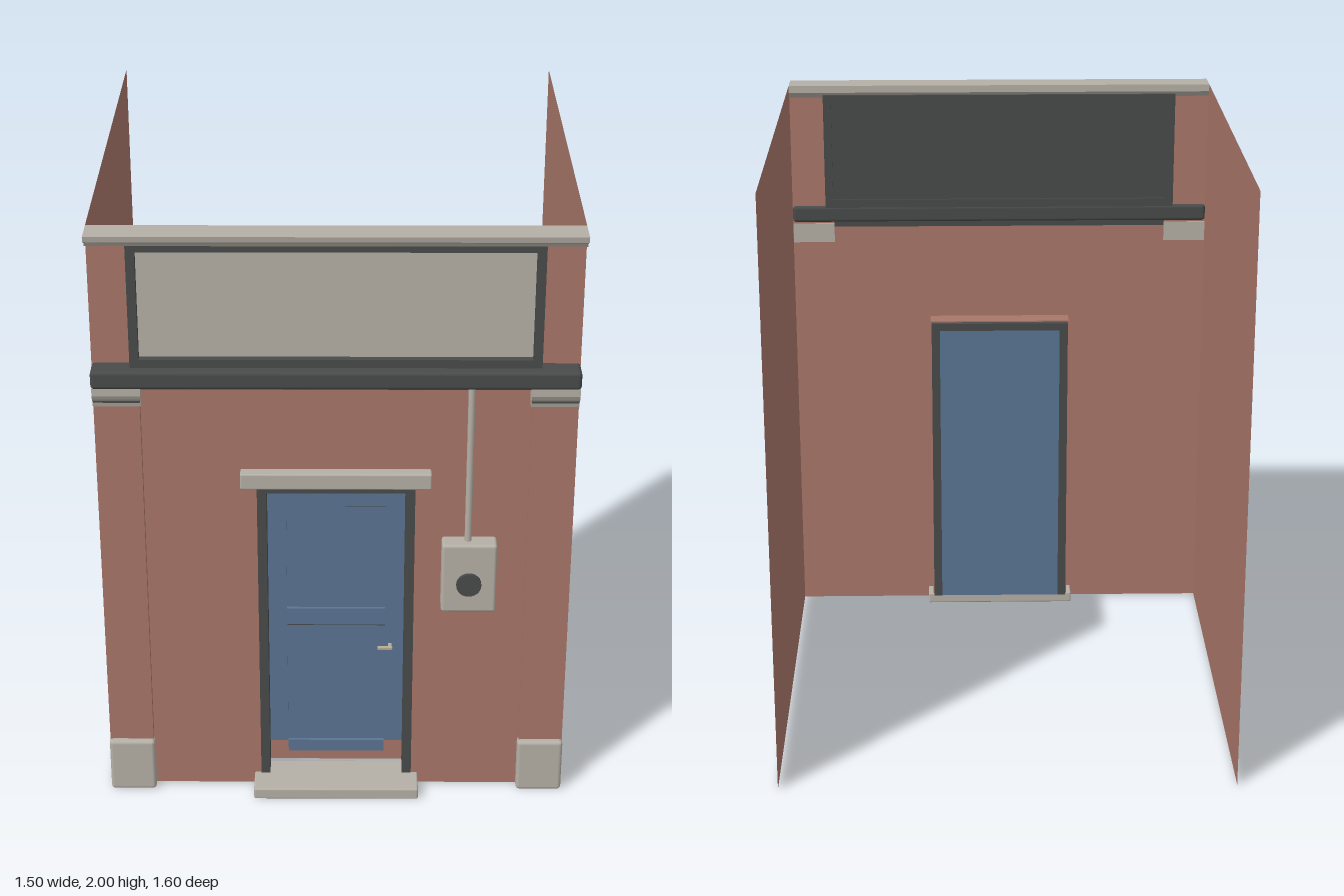
import * as THREE from 'three';
import { RoundedBoxGeometry } from 'three/addons/geometries/RoundedBoxGeometry.js';

const mat = (name, color, side = THREE.FrontSide) => {
  const m = new THREE.MeshStandardMaterial({ color, side });
  m.name = name;
  return m;
};

export function createModel() {
  const model = new THREE.Group();
  model.name = 'shopEntrance';
  const brick = mat('brick', 0xa87669, THREE.DoubleSide);
  const stone = mat('stone', 0xb5b0a6);
  const iron = mat('darkIron', 0x484b4a);
  const blue = mat('bluePaint', 0x5a7593);
  const brass = mat('handleMetal', 0xb9ab93);

  const add = (name, geometry, material) => {
    const mesh = new THREE.Mesh(geometry, material);
    mesh.name = name;
    model.add(mesh);
    return mesh;
  };
  // Box given by its limits; a radius rounds the edges
  const box = (name, material, [x0, x1], [y0, y1], [z0, z1], r = 0) => {
    const s = [x1 - x0, y1 - y0, z1 - z0];
    const g = r ? new RoundedBoxGeometry(...s, 2, r) : new THREE.BoxGeometry(...s);
    g.translate((x0 + x1) / 2, (y0 + y1) / 2, (z0 + z1) / 2);
    return add(name, g, material);
  };
  const rect = (C, x0, x1, y0, y1) => {
    const s = new C();
    s.moveTo(x0, y0).lineTo(x1, y0).lineTo(x1, y1).lineTo(x0, y1).closePath();
    return s;
  };
  // Flat slab with rectangular holes, from z0 to z1
  const slab = (name, material, outer, holes, z0, z1) => {
    const s = rect(THREE.Shape, ...outer);
    holes.forEach(h => s.holes.push(rect(THREE.Path, ...h)));
    const g = new THREE.ExtrudeGeometry(s, { depth: z1 - z0, bevelEnabled: false });
    return add(name, g.translate(0, 0, z0), material);
  };
  // Profile in [z, y] points swept along x
  const moulding = (name, material, pts, x0, x1) => {
    const s = new THREE.Shape(pts.map(([z, y]) => new THREE.Vector2(-z, y)));
    const g = new THREE.ExtrudeGeometry(s, { depth: x1 - x0, bevelEnabled: false });
    return add(name, g.rotateY(Math.PI / 2).translate(x0, 0, 0), material);
  };

  // Front wall with the doorway cut out
  const wall = new THREE.Shape([
    [-0.75, 0], [-0.25, 0], [-0.25, 1.13], [0.25, 1.13],
    [0.25, 0], [0.75, 0], [0.75, 2], [-0.75, 2],
  ].map(p => new THREE.Vector2(...p)));
  add('frontWall', new THREE.ShapeGeometry(wall).translate(0, 0, 0.7), brick);

  // Open side walls, pilasters with bases and capitals
  for (const s of [-1, 1]) {
    const side = s > 0 ? 'left' : 'right';
    const span = (a, b) => (s > 0 ? [a, b] : [-b, -a]);
    const g = new THREE.PlaneGeometry(1.5, 2).rotateY(Math.PI / 2);
    add(side + 'SideWall', g.translate(s * 0.75, 1, -0.05), brick);
    box(side + 'Pilaster', brick, span(0.605, 0.748), [0.1, 1.45], [0.701, 0.725]);
    box(side + 'PilasterBase', stone, span(0.6, 0.75), [0, 0.19], [0.701, 0.745], 0.012);
    moulding(side + 'Capital', stone, [
      [0.695, 1.42], [0.73, 1.42], [0.735, 1.44], [0.745, 1.45],
      [0.752, 1.465], [0.752, 1.49], [0.695, 1.49],
    ], ...span(0.6, 0.749));
    box(side + 'CapitalGroove', iron, span(0.602, 0.748), [1.436, 1.442], [0.72, 0.738]);
    // Brick reveal outside the door frame
    box(side + 'DoorReveal', brick, span(0.25, 0.254), [0.04, 1.134], [0.632, 0.699]);
    box(side + 'DoorJamb', iron, span(0.22, 0.25), [0.04, 1.13], [0.612, 0.705]);
  }

  // Beam over the pilasters and the cornice
  box('beamShadowStrip', iron, [-0.6, 0.6], [1.478, 1.5], [0.695, 0.73]);
  box('beam', iron, [-0.75, 0.75], [1.495, 1.555], [0.69, 0.772], 0.012);
  moulding('cornice', stone, [
    [0.683, 1.975], [0.7, 1.955], [0.738, 1.955], [0.745, 1.967],
    [0.76, 1.976], [0.774, 1.982], [0.777, 2], [0.683, 2],
  ], -0.75, 0.75);

  // Sign panel in its frame
  slab('signFrame', iron, [-0.63, 0.63, 1.552, 1.965], [[-0.602, 0.602, 1.582, 1.935]], 0.683, 0.738);
  box('signBack', iron, [-0.605, 0.605], [1.58, 1.937], [0.69, 0.706]);
  box('signPanel', stone, [-0.602, 0.602], [1.582, 1.935], [0.706, 0.714]);

  // Doorway: head, lintel and sill
  box('doorHeadReveal', brick, [-0.25, 0.25], [1.13, 1.134], [0.632, 0.699]);
  box('doorHead', iron, [-0.25, 0.25], [1.103, 1.13], [0.612, 0.705]);
  box('lintel', stone, [-0.3, 0.3], [1.135, 1.19], [0.701, 0.744], 0.006);
  box('sill', stone, [-0.272, 0.272], [0, 0.04], [0.632, 0.8], 0.006);

  // Door with two sunk panels over a brick kick strip
  box('doorBack', blue, [-0.22, 0.22], [0.04, 1.103], [0.613, 0.618]);
  box('kickStrip', brick, [-0.22, 0.22], [0.04, 0.125], [0.618, 0.622]);
  box('doorPanels', blue, [-0.16, 0.16], [0.075, 1.05], [0.618, 0.627]);
  slab('doorLeaf', blue, [-0.22, 0.22, 0.125, 1.103],
    [[-0.16, 0.16, 0.64, 1.02], [-0.16, 0.16, 0.126, 0.58]], 0.618, 0.638);
  for (const y of [1.018, 0.576]) box('panelGroove', iron, [-0.16, 0.16], [y, y + 0.005], [0.627, 0.637]);
  box('handle', brass, [0.135, 0.185], [0.497, 0.51], [0.655, 0.667], 0.004);
  box('handleStem', brass, [0.17, 0.182], [0.498, 0.509], [0.636, 0.66]);

  // Meter box, dial and conduit
  box('meterBox', stone, [0.335, 0.51], [0.705, 0.95], [0.701, 0.768], 0.01);
  const dial = new THREE.CylinderGeometry(0.04, 0.04, 0.02, 24).rotateX(Math.PI / 2);
  add('meterDial', dial.translate(0.422, 0.81, 0.769), iron);
  const pipe = new THREE.CylinderGeometry(0.011, 0.011, 0.55, 12);
  add('conduit', pipe.translate(0.418, 1.215, 0.731), stone);

  return model;
}
